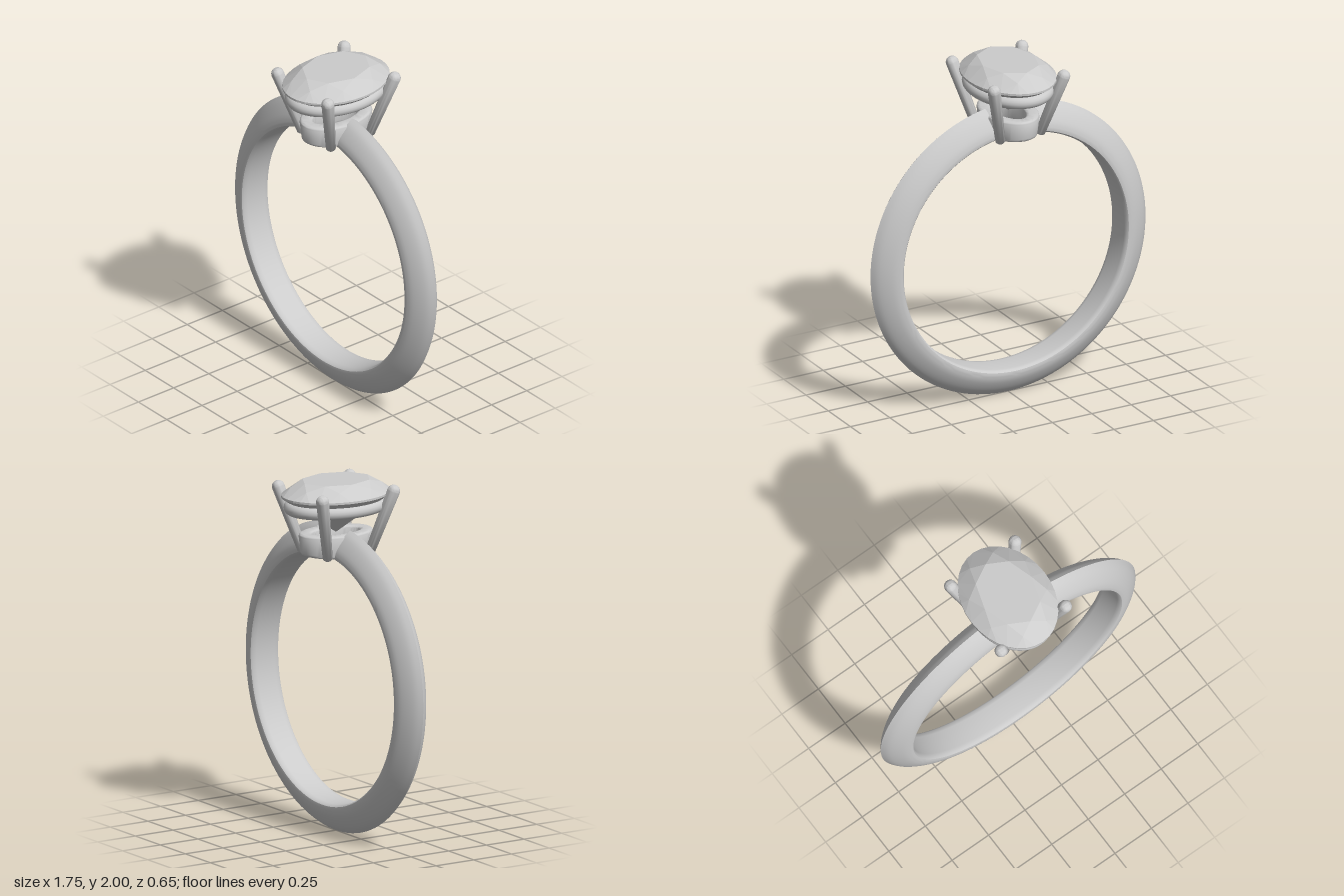
import * as THREE from 'three';
import { toCreasedNormals } from 'three/addons/utils/BufferGeometryUtils.js';
import { ConvexGeometry } from 'three/addons/geometries/ConvexGeometry.js';

const V2 = (x, y) => new THREE.Vector2(x, y);
const metal = new THREE.MeshStandardMaterial({ color: 0xcccccc });
const thin = new THREE.MeshStandardMaterial({ color: 0xcccccc, side: THREE.DoubleSide });
const stone = new THREE.MeshStandardMaterial({ color: 0xcccccc, flatShading: true });

const BAND_Y = 0.875; // centre of the finger hole
const GAP = 0.165;    // half angle of the opening under the setting

function named(name, geometry, material = metal) {
  const mesh = new THREE.Mesh(geometry, material);
  mesh.name = name;
  return mesh;
}

// Sweep a closed counter-clockwise profile (outward offset, height) round an oval.
function ovalSweep(profile, rx, rz, adjust = (x, y) => y, steps = 80) {
  const pos = [], index = [], m = profile.length;
  for (let i = 0; i < steps; i++) {
    const a = (i / steps) * Math.PI * 2, c = Math.cos(a), s = Math.sin(a);
    const n = V2(c / rx, s / rz).normalize();
    profile.forEach((p, j) => {
      const x = rx * c + n.x * p.x, z = rz * s + n.y * p.x;
      pos.push(x, adjust(x, p.y), z);
      const k = (j + 1) % m, ni = (i + 1) % steps;
      const A = i * m + j, B = i * m + k, C = ni * m + j, D = ni * m + k;
      index.push(A, B, C, B, D, C);
    });
  }
  const g = new THREE.BufferGeometry();
  g.setAttribute('position', new THREE.Float32BufferAttribute(pos, 3));
  g.setIndex(index);
  return toCreasedNormals(g, 0.9);
}

// Knife-edge band, open at the top where the setting sits
function makeBand() {
  const band = new THREE.Group();
  band.name = 'band';
  const half = new THREE.SplineCurve([
    V2(0.73, 0.093), V2(0.765, 0.085), V2(0.81, 0.061), V2(0.848, 0.032), V2(0.873, 0),
  ]).getPoints(12);
  const upper = [...half].reverse().concat([V2(0.716, 0.091), V2(0.708, 0.082), V2(0.705, 0.06), V2(0.705, 0)]);
  const lower = upper.slice(0, -1).reverse().map((p) => V2(p.x, -p.y));
  const profile = [...lower.slice(0, -1), ...upper];
  const closed = [upper[upper.length - 1].clone(), ...profile];

  const start = -(Math.PI - GAP);
  const hoop = new THREE.LatheGeometry(closed, 128, start, 2 * (Math.PI - GAP));
  hoop.rotateX(Math.PI / 2);
  band.add(named('hoop', toCreasedNormals(hoop, 0.6)));

  // end faces inside the setting
  for (const phi of [start, -start]) {
    const cap = new THREE.ShapeGeometry(new THREE.Shape(profile));
    cap.rotateY(phi - Math.PI / 2);
    cap.rotateX(Math.PI / 2);
    band.add(named('bandEnd', cap, thin));
  }
  band.position.y = BAND_Y;
  return band;
}

// Oval brilliant: table, crown, thin girdle, pavilion and culet
function makeGem() {
  const rx = 0.25, rz = 0.325, pts = [new THREE.Vector3(0, 1.7, 0)];
  const ring = (n, ratio, y, turn = 0) => {
    for (let i = 0; i < n; i++) {
      const a = ((i + turn) / n) * Math.PI * 2;
      pts.push(new THREE.Vector3(rx * ratio * Math.cos(a), y, rz * ratio * Math.sin(a)));
    }
  };
  ring(8, 0.64, 2);
  ring(8, 0.83, 1.97, 0.5);
  ring(32, 1, 1.927);
  ring(32, 1, 1.915);
  ring(8, 0.27, 1.757, 0.5);
  return named('gem', new ConvexGeometry(pts), stone);
}

// Tapered prong with a rounded tip
function makeProng(sx, sz) {
  const bottom = new THREE.Vector3(sx * 0.125, 1.585, sz * 0.137);
  const top = new THREE.Vector3(sx * 0.221, 1.945, sz * 0.236);
  const dir = top.clone().sub(bottom), len = dir.length(), r = 0.036;
  const profile = [V2(0, 0), V2(0.022, 0), V2(0.028, 0.008)];
  for (let i = 0; i <= 8; i++) {
    const a = (i / 8) * Math.PI / 2;
    profile.push(V2(i === 8 ? 0 : r * Math.cos(a), len + r * Math.sin(a)));
  }
  const prong = named('prong', toCreasedNormals(new THREE.LatheGeometry(profile, 24), 0.8));
  prong.position.copy(bottom);
  prong.quaternion.setFromUnitVectors(new THREE.Vector3(0, 1, 0), dir.normalize());
  return prong;
}

export function createModel() {
  const ring = new THREE.Group();
  ring.name = 'ring';
  ring.add(makeBand(), makeGem());

  // Prong setting
  const setting = new THREE.Group();
  setting.name = 'setting';
  for (const sx of [-1, 1]) for (const sz of [-1, 1]) setting.add(makeProng(sx, sz));

  // Round rail under the girdle
  const round = [];
  for (let i = 0; i < 16; i++) {
    const a = (i / 16) * Math.PI * 2;
    round.push(V2(0.036 * Math.cos(a), 1.855 + 0.036 * Math.sin(a)));
  }
  setting.add(named('upperRail', ovalSweep(round, 0.2, 0.274)));

  // Tall base collar with softened edges, its underside following the finger
  const collar = [];
  const corners = [[0.022, 1.691, 0], [-0.016, 1.691, 1], [-0.016, 1.605, 2], [0.012, 1.605, 3]];
  for (const [x, y, q] of corners) {
    for (let i = 0; i <= 4; i++) {
      const a = (q + i / 4) * Math.PI / 2;
      collar.push(V2(x + 0.018 * Math.cos(a), y + 0.018 * Math.sin(a)));
    }
  }
  const followFinger = (x, y) => (y > 1.65 ? y : y - (0.71 - Math.sqrt(0.71 ** 2 - x * x)));
  setting.add(named('baseCollar', ovalSweep(collar, 0.112, 0.186, followFinger)));

  ring.add(setting);
  return ring;
}
